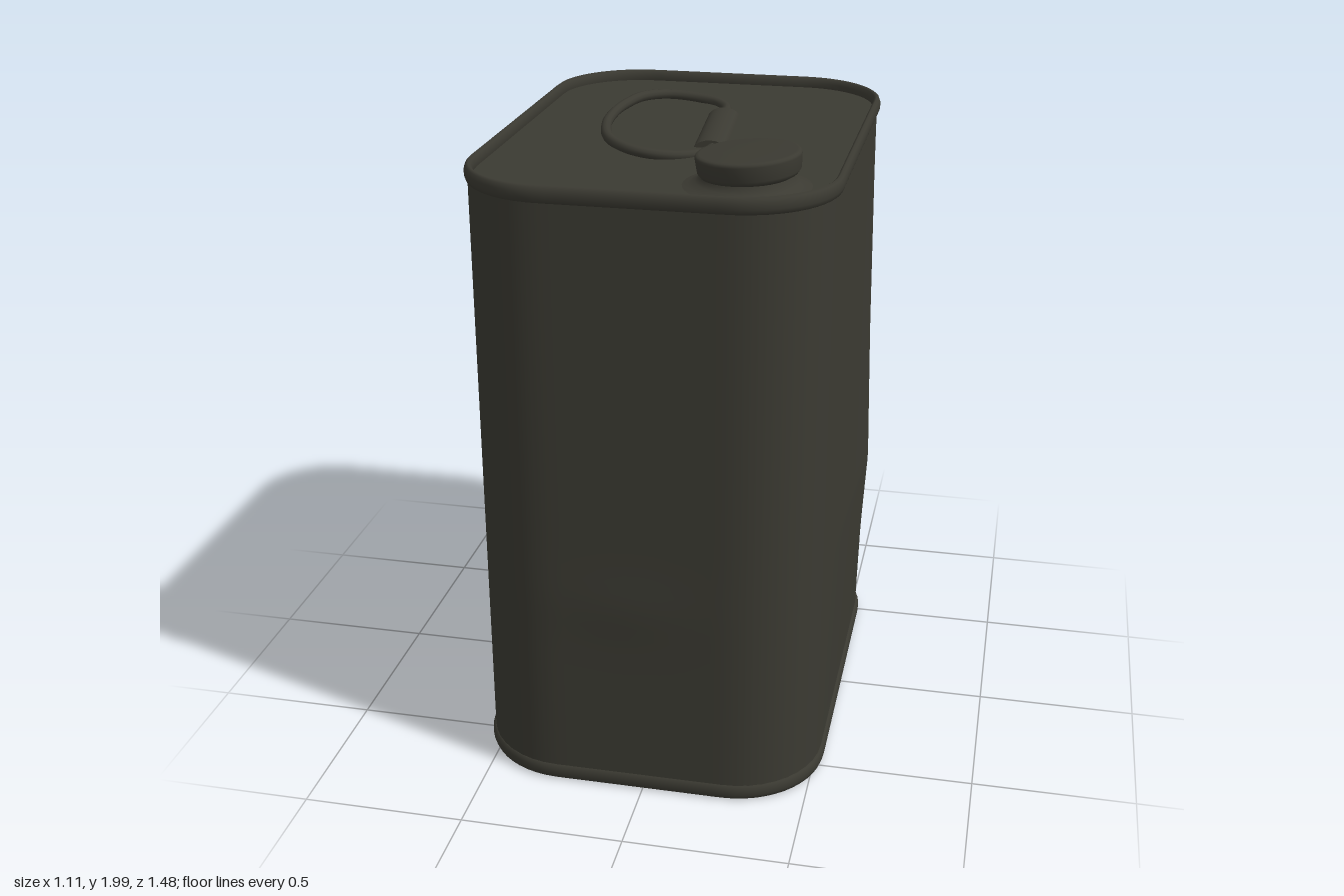
import * as THREE from 'three';

const CX = -0.0135; // centre of the can's outline

// Rounded-rectangle loop in the xz plane: position and outward normal per point
function outline(hx, hz, r) {
  const pts = [], arc = 10, side = 14;
  const corners = [[1, 1], [-1, 1], [-1, -1], [1, -1]];
  corners.forEach(([sx, sz], k) => {
    const cx = sx * (hx - r), cz = sz * (hz - r);
    for (let i = 0; i <= arc; i++) {
      const a = (k + i / arc) * Math.PI / 2, nx = Math.cos(a), nz = Math.sin(a);
      pts.push({ x: CX + cx + r * nx, z: cz + r * nz, nx, nz });
    }
    const p = pts[pts.length - 1];
    const [tx, tz] = corners[(k + 1) % 4];
    const ex = CX + tx * (hx - r) + r * p.nx, ez = tz * (hz - r) + r * p.nz;
    for (let i = 1; i < side; i++) {
      const t = i / side;
      pts.push({ x: p.x + (ex - p.x) * t, z: p.z + (ez - p.z) * t, nx: p.nx, nz: p.nz });
    }
  });
  return pts;
}

const tent = (v, lo, peak, hi) =>
  Math.max(0, v < peak ? (v - lo) / (peak - lo) : (hi - v) / (hi - peak));
const bump = (v, centre, width) => Math.exp(-(((v - centre) / width) ** 2));

// Outward push of the sheet metal: bulged left side, dented back and corner
function dent(p, y) {
  const left = Math.max(0, p.nx), back = Math.max(0, -p.nz) ** 3, front = Math.max(0, p.nz);
  let d = 0.036 * left * tent(y, 0.08, 0.72, 1.8) * tent(p.z, -0.56, -0.35, 0.45);
  d -= back * 0.028 * bump(y, 1.0, 0.18);
  d += back * 0.01 * bump(y, 0.65, 0.1);
  d -= back * 0.012 * bump(y, 0.8, 0.16) * bump(p.x, 0.1, 0.22);
  d -= 0.03 * bump(y, 0.55, 0.13) * bump(p.x, 0.46, 0.12) * bump(p.z, -0.66, 0.14);
  d += front * 0.006 * bump(y, 0.64, 0.1) * bump(p.x, -0.05, 0.2);
  return d;
}

function bodyGeometry() {
  const loop = outline(0.532, 0.733, 0.27), n = loop.length, rows = 48;
  const pos = [], idx = [];
  for (let j = 0; j <= rows; j++) {
    const y = 0.03 + (1.9 - 0.03) * j / rows;
    for (const p of loop) {
      const d = dent(p, y);
      pos.push(p.x + p.nx * d, y, p.z + p.nz * d);
    }
  }
  for (let j = 0; j < rows; j++) {
    for (let i = 0; i < n; i++) {
      const a = j * n + i, b = j * n + (i + 1) % n;
      idx.push(a, a + n, b, b, a + n, b + n);
    }
  }
  const g = new THREE.BufferGeometry();
  g.setAttribute('position', new THREE.Float32BufferAttribute(pos, 3));
  g.setIndex(idx);
  g.computeVertexNormals();
  return g;
}

// Flat end plate inside a rim
function plateGeometry() {
  const loop = outline(0.528, 0.727, 0.268);
  return new THREE.ShapeGeometry(new THREE.Shape(loop.map(p => new THREE.Vector2(p.x, p.z))));
}

export function createModel() {
  const model = new THREE.Group();
  const olive = new THREE.MeshStandardMaterial({ color: 0x3b3a32 });
  olive.name = 'dark olive paint';
  const add = (name, geometry, parent = model) => {
    const mesh = new THREE.Mesh(geometry, olive);
    mesh.name = name;
    parent.add(mesh);
    return mesh;
  };

  add('body', bodyGeometry());

  // Narrow rolled seams at both ends
  const seam = outline(0.53, 0.729, 0.27);
  for (const [name, y] of [['topRim', 1.9], ['bottomRim', 0.034]]) {
    const path = new THREE.CatmullRomCurve3(seam.map(p => new THREE.Vector3(p.x, 0, p.z)), true);
    const rim = add(name, new THREE.TubeGeometry(path, 144, 0.013, 10, true));
    rim.scale.y = 2;
    rim.position.y = y;
  }

  // End plates
  add('lid', plateGeometry().rotateX(-Math.PI / 2)).position.y = 1.892;
  add('floor', plateGeometry().rotateX(Math.PI / 2)).position.y = 0.022;

  // Filler spout: flared neck and slightly tilted cap
  const lathe = pts => new THREE.LatheGeometry(pts.map(p => new THREE.Vector2(...p)), 40);
  const spout = new THREE.Group();
  spout.name = 'spout';
  spout.position.set(0.263, 1.89, 0.497);
  model.add(spout);
  add('neck', lathe([[0.19, 0], [0.165, 0.006], [0.145, 0.015], [0.13, 0.028], [0.124, 0.055]]), spout);
  const cap = add('cap', lathe([
    [0, 0], [0.125, 0], [0.136, 0.006], [0.145, 0.018], [0.149, 0.058],
    [0.148, 0.064], [0.144, 0.068], [0.136, 0.07], [0.07, 0.072], [0, 0.072]
  ]), spout);
  cap.position.set(0.006, 0.03, -0.002);
  cap.rotation.z = 0.07;

  // Carrying handle: bent wire loop, raised on the right, held by a half-round bracket
  const wireY = x => 1.929 - 0.11 * (x + 0.26);
  const wire = [
    [0.054, -0.22], [0.052, -0.3], [0.037, -0.37], [-0.009, -0.418], [-0.08, -0.434], [-0.162, -0.417],
    [-0.225, -0.347], [-0.255, -0.22], [-0.263, -0.08], [-0.248, 0.07], [-0.203, 0.202],
    [-0.137, 0.266], [-0.07, 0.283], [0.001, 0.265], [0.062, 0.212], [0.09, 0.14], [0.085, 0.06]
  ].map(([x, z]) => new THREE.Vector3(x, wireY(x), z));
  add('handleWire', new THREE.TubeGeometry(new THREE.CatmullRomCurve3(wire), 96, 0.016, 10));

  const bracket = add('handleBracket', new THREE.CylinderGeometry(0.05, 0.05, 0.415, 20).rotateX(Math.PI / 2));
  bracket.scale.y = 0.6;
  bracket.rotation.y = 0.085;
  bracket.position.set(0.066, 1.884, -0.08);

  return model;
}
